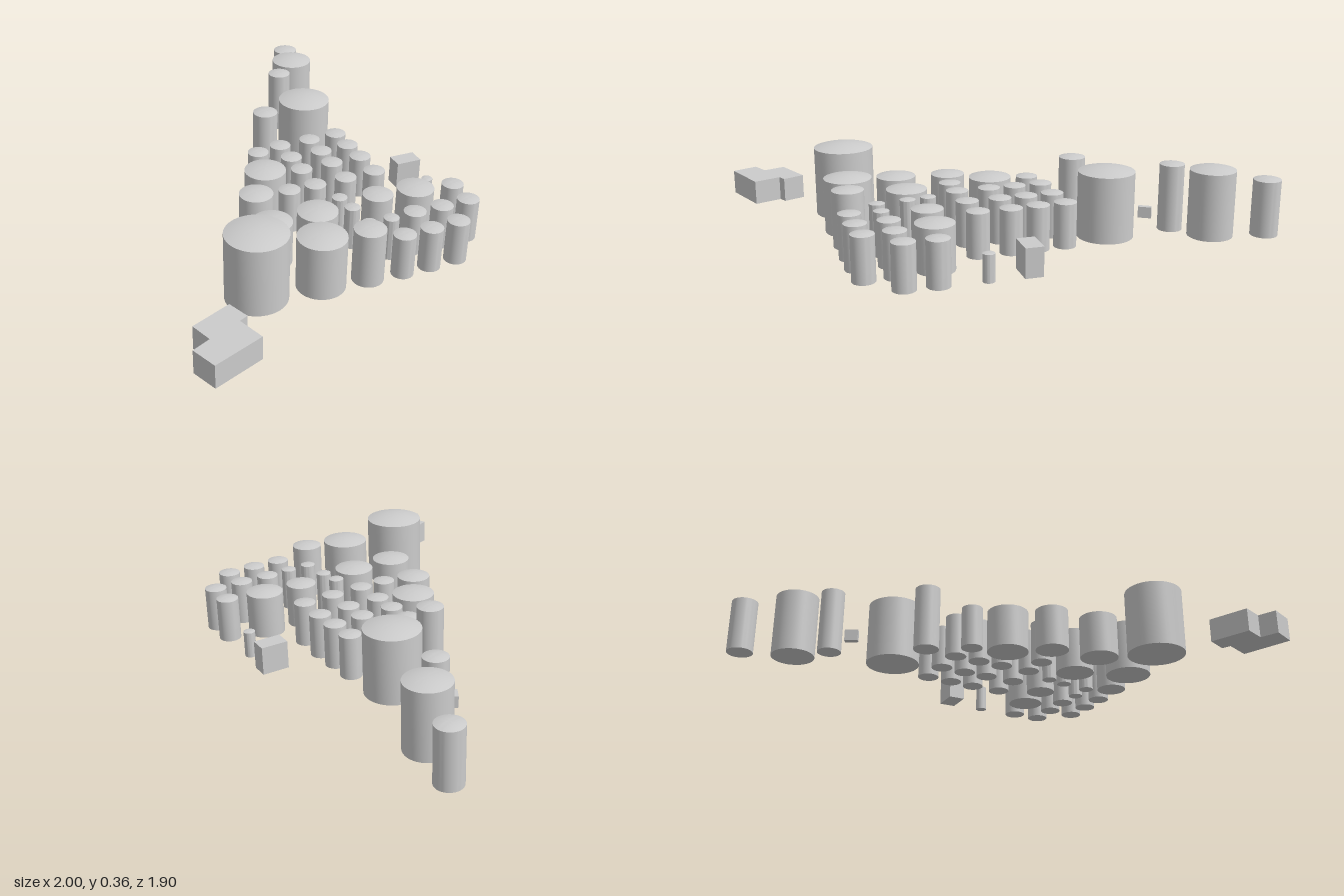
import * as THREE from 'three';
import { toCreasedNormals } from 'three/addons/utils/BufferGeometryUtils.js';

const material = new THREE.MeshStandardMaterial({ color: 0xcccccc });
const BASE = 0.008;

// Closed upright cylinder with a shallow domed roof
function tankGeometry(radius, bottom, top) {
  const rise = radius * 0.16;
  const profile = [new THREE.Vector2(0, bottom), new THREE.Vector2(radius, bottom)];
  const steps = 6;
  for (let i = 0; i <= steps; i++) {
    const r = radius * (1 - i / steps);
    profile.push(new THREE.Vector2(r, top - rise * (r / radius) ** 2));
  }
  return toCreasedNormals(new THREE.LatheGeometry(profile, 40), 0.5);
}

// Each row: x, z, radius, top height
const largeTanks = [
  [-0.94, -0.89, 0.064, 0.285], [-0.72, -0.765, 0.106, 0.34],
  [-0.617, -0.60, 0.058, 0.335], [-0.297, -0.52, 0.131, 0.34],
  [-0.287, -0.26, 0.062, 0.337], [0.03, -0.025, 0.101, 0.233],
  [0.175, 0.135, 0.081, 0.227], [0.465, 0, 0.095, 0.232],
  [0.413, 0.22, 0.094, 0.232], [0.69, 0.158, 0.112, 0.283],
  [0.775, -0.04, 0.073, 0.283], [0.59, 0.435, 0.142, 0.36],
  [0.58, -0.498, 0.088, 0.232], [0.52, -0.315, 0.072, 0.23],
];

// Each row: x, z (all the same size)
const smallTanks = [
  [-0.057, -0.54], [0.07, -0.513], [0.196, -0.488], [0.343, -0.45],
  [-0.085, -0.392], [0.041, -0.366], [0.161, -0.336], [0.31, -0.298],
  [-0.125, -0.234], [0.002, -0.207], [0.124, -0.176], [0.274, -0.14],
  [-0.132, -0.102], [0.242, -0.011], [0.655, -0.668], [0.793, -0.63],
  [0.763, -0.492], [0.896, -0.463], [0.726, -0.357], [0.868, -0.326],
  [0.836, -0.192],
];

const slimTanks = [[0.434, -0.156], [0.533, -0.149], [0.703, -0.234], [0.675, -0.128]];

export function createModel() {
  const model = new THREE.Group();
  const add = (parent, name, geometry, x = 0, y = 0, z = 0, turn = 0) => {
    const mesh = new THREE.Mesh(geometry, material);
    mesh.name = name;
    mesh.position.set(x, y, z);
    mesh.rotation.y = turn;
    parent.add(mesh);
  };
  const group = (name) => {
    const g = new THREE.Group();
    g.name = name;
    model.add(g);
    return g;
  };

  // Storage tanks
  const large = group('largeTanks');
  for (const [x, z, r, top] of largeTanks) add(large, 'largeTank', tankGeometry(r, BASE, top), x, 0, z);

  const small = group('smallTanks');
  const smallGeometry = tankGeometry(0.052, BASE, 0.224);
  for (const [x, z] of smallTanks) add(small, 'smallTank', smallGeometry, x, 0, z);

  const slim = group('slimTanks');
  const slimGeometry = tankGeometry(0.036, BASE, 0.222);
  for (const [x, z] of slimTanks) add(slim, 'slimTank', slimGeometry, x, 0, z);

  // Low pipe-like tank beside the rear shed
  add(model, 'shortTank', tankGeometry(0.027, 0, 0.13), 0.445, 0, -0.714);

  // Rear shed and little hut
  add(model, 'rearShed', new THREE.BoxGeometry(0.082, 0.135, 0.128), 0.26, 0.0775, -0.74, -0.25);
  add(model, 'hut', new THREE.BoxGeometry(0.064, 0.055, 0.027), -0.593, 0.05, -0.445, -0.78);

  // Stepped office building, its plan drawn as (x, -z) and raised upwards
  const plan = [
    [0.72, 0.668], [0.825, 0.652], [0.834, 0.695], [0.965, 0.679],
    [0.995, 0.925], [0.872, 0.945], [0.855, 0.855], [0.75, 0.867],
  ];
  const shape = new THREE.Shape(plan.map(([x, z]) => new THREE.Vector2(x, -z)));
  const office = new THREE.ExtrudeGeometry(shape, { depth: 0.115, bevelEnabled: false });
  office.rotateX(-Math.PI / 2);
  add(model, 'officeBuilding', office, 0, 0.038, 0);

  return model;
}
